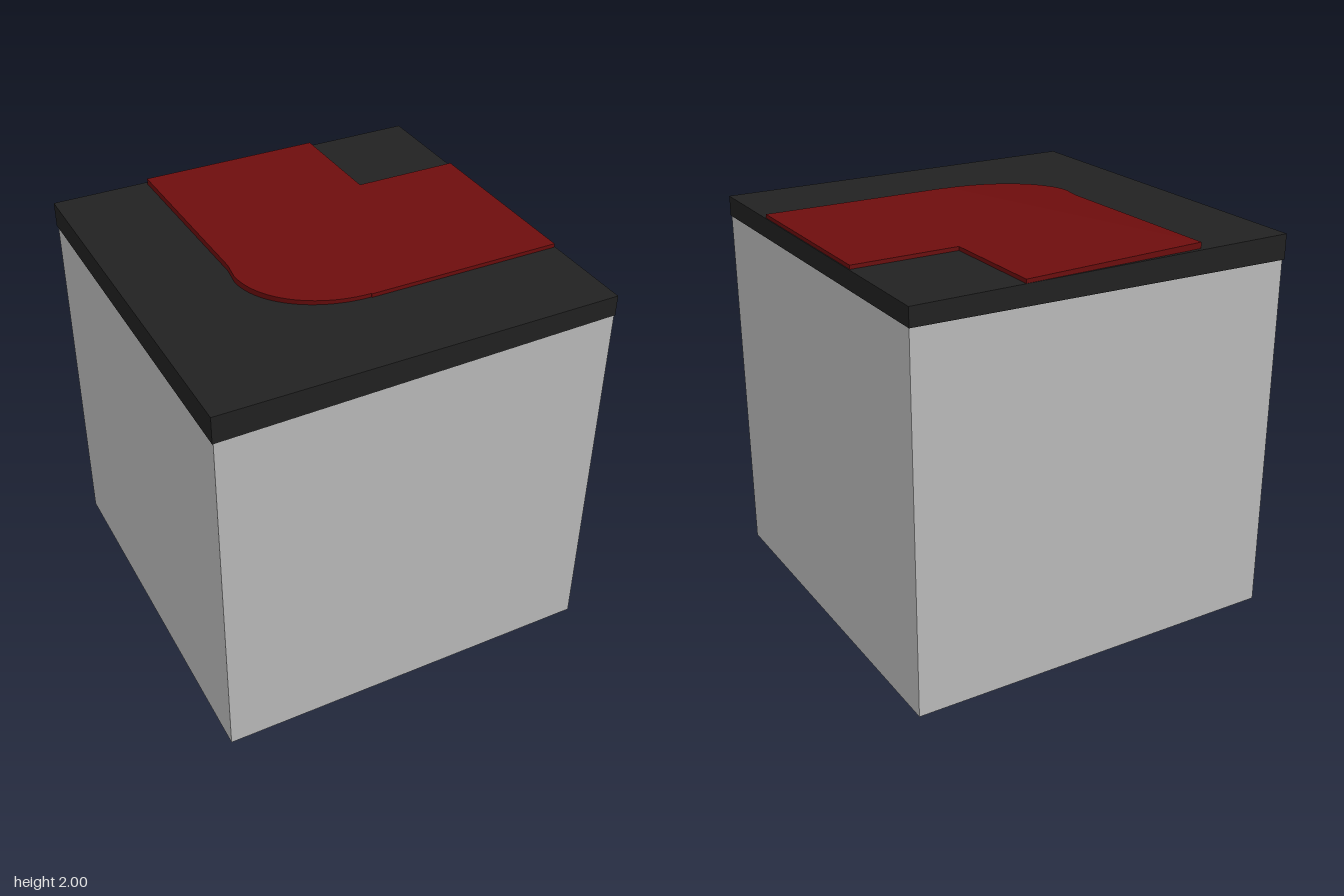
import * as THREE from 'three';

const clamp01 = (v) => Math.min(1, Math.max(0, v));
const paint = (name, color) => {
  const m = new THREE.MeshStandardMaterial({ color });
  m.name = name;
  return m;
};

// Box between two corners
function boxBetween(x0, y0, z0, x1, y1, z1) {
  return new THREE.BoxGeometry(x1 - x0, y1 - y0, z1 - z0)
    .translate((x0 + x1) / 2, (y0 + y1) / 2, (z0 + z1) / 2);
}

// Set each vertex height by a rule, then refresh the normals
function setHeights(geometry, rule) {
  const p = geometry.attributes.position;
  for (let i = 0; i < p.count; i++) p.setY(i, rule(p.getX(i), p.getY(i), p.getZ(i)));
  geometry.computeVertexNormals();
  return geometry;
}

export function createModel() {
  const model = new THREE.Group();
  const add = (name, geometry, material) => {
    const mesh = new THREE.Mesh(geometry, material);
    mesh.name = name;
    model.add(mesh);
  };

  // Plain block
  add('block', boxBetween(-0.985, 0, -0.98, 0.98, 1.95, 0.985), paint('light grey', 0xc0c0c0));

  // Dark cap whose lower rim slopes slightly upward to +x and to the back
  const cap = setHeights(boxBetween(-0.99, 1.85, -0.99, 0.985, 1.97, 0.987), (x, y, z) =>
    y > 1.9 ? y : (x < 0 ? 1.835 : 1.868) + (z < 0 ? 0.01 : 0));
  add('cap', cap, paint('charcoal', 0x222222));

  // Raised L-shaped panel with a rounded outer corner, drawn in (x, -z)
  const outline = new THREE.Shape();
  outline.moveTo(0, -0.5);
  outline.lineTo(0.98, -0.5);
  outline.lineTo(0.98, 0.44);
  outline.lineTo(0.445, 0.44);
  outline.lineTo(0.435, 0.988);
  outline.lineTo(-0.5, 0.97);
  outline.lineTo(-0.48, 0);
  outline.lineTo(-0.493, -0.1);
  outline.absellipse(0, -0.1, 0.493, 0.395, Math.PI, Math.PI * 1.5, false, 0);
  const panel = new THREE.ExtrudeGeometry(outline, { depth: 0.02, bevelEnabled: false, curveSegments: 16 });
  panel.rotateX(-Math.PI / 2).translate(0, 1.968, 0);
  // The top swells a little toward the back at -x
  setHeights(panel, (x, y, z) =>
    y < 1.975 ? y : 1.989 + 0.011 * clamp01((0.44 - x) / 0.44) * clamp01((0.5 - z) / 0.35));
  add('cornerPanel', panel, paint('dark red', 0x6e0d0d));

  return model;
}
